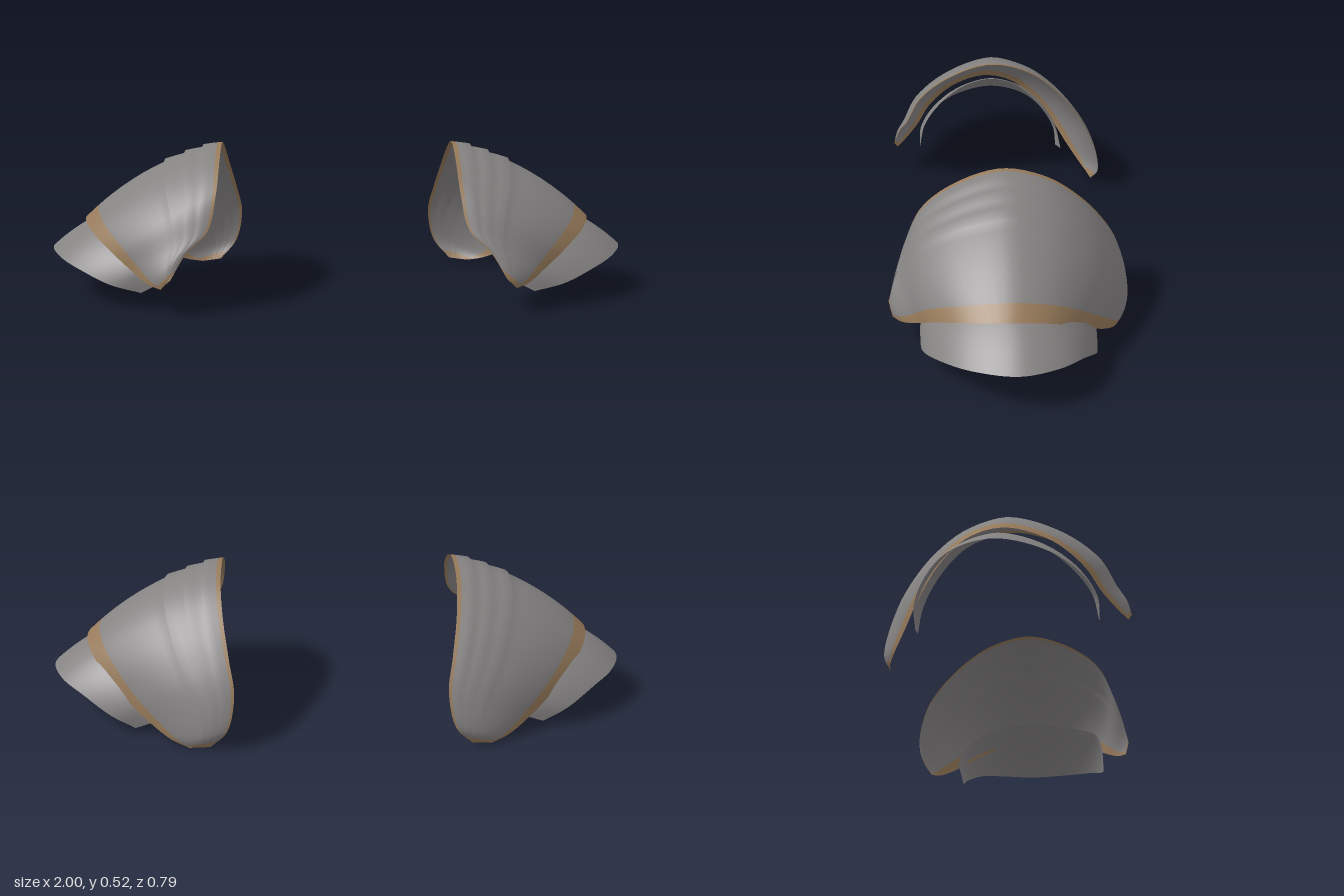
import * as THREE from 'three';

const steel = new THREE.MeshStandardMaterial({ color: 0x858282, side: THREE.DoubleSide });
steel.name = 'steel grey';
const bronze = new THREE.MeshStandardMaterial({ color: 0x967a5a, side: THREE.DoubleSide });
bronze.name = 'bronze trim';

const curve = (pts) => new THREE.CatmullRomCurve3(pts.map((p) => new THREE.Vector3(...p)));

// Edge curves run from the front tip, over the shoulder, to the back tip
const upperNeck = curve([
  [0.55, 0.13, 0.392], [0.50, 0.21, 0.365], [0.43, 0.28, 0.335], [0.405, 0.39, 0.28],
  [0.40, 0.475, 0.17], [0.40, 0.523, 0.02], [0.40, 0.49, -0.12], [0.39, 0.41, -0.23],
  [0.37, 0.30, -0.32], [0.355, 0.20, -0.37], [0.38, 0.08, -0.395], [0.44, 0.01, -0.375],
]);
const upperArm = curve([
  [0.585, 0.095, 0.38], [0.63, 0.105, 0.35], [0.69, 0.14, 0.30], [0.76, 0.19, 0.25],
  [0.84, 0.24, 0.15], [0.88, 0.262, 0.02], [0.86, 0.243, -0.09], [0.80, 0.19, -0.18],
  [0.72, 0.12, -0.25], [0.64, 0.06, -0.30], [0.57, 0.02, -0.34], [0.51, 0.003, -0.365],
]);
const lowerNeck = curve([
  [0.56, 0.11, 0.29], [0.60, 0.18, 0.27], [0.68, 0.24, 0.20], [0.74, 0.28, 0.11],
  [0.77, 0.295, 0], [0.74, 0.28, -0.10], [0.68, 0.22, -0.19], [0.62, 0.14, -0.25], [0.58, 0.07, -0.27],
]);
const lowerArm = curve([
  [0.66, 0.06, 0.292], [0.76, 0.085, 0.285], [0.86, 0.12, 0.235], [0.95, 0.145, 0.14],
  [1.0, 0.157, 0], [0.96, 0.15, -0.12], [0.88, 0.125, -0.20], [0.78, 0.07, -0.255], [0.70, 0.025, -0.26],
]);

// Bulged sheet between two edge curves; isTrim(u, v) picks the bronze cells
function shell(name, neck, arm, side, rows, bulge, lames, isTrim) {
  const cols = 56, pos = [], index = [];
  const cells = [[], []];
  for (let i = 0; i <= cols; i++) {
    const u = i / cols;
    const a = neck.getPoint(u), b = arm.getPoint(u);
    const taper = Math.pow(Math.max(Math.sin(Math.PI * u), 0), 0.7);
    for (const v of rows) {
      const p = a.clone().lerp(b, v);
      const k = 4 * v * (1 - v) * taper * bulge;
      const z = p.z;
      p.x += 0.018 * k;
      p.y += 0.036 * k * (1 - Math.abs(z) / 0.4);
      p.z += 0.14 * z * k;
      // Overlapping lames: each rises a little, then drops to the next
      const j = lames.findIndex((l) => v <= l);
      if (j >= 0) {
        const start = j ? lames[j - 1] : 0;
        p.y += 0.009 * taper * (v - start) / (lames[j] - start);
      }
      pos.push(side * p.x, p.y, p.z);
    }
  }
  const n = rows.length;
  for (let i = 0; i < cols; i++) {
    for (let j = 0; j < n - 1; j++) {
      const a = i * n + j, b = a + 1, c = a + n, d = c + 1;
      const trim = isTrim((i + 0.5) / cols, (rows[j] + rows[j + 1]) / 2) ? 1 : 0;
      cells[trim].push(...(side > 0 ? [a, b, c, b, d, c] : [a, c, b, b, c, d]));
    }
  }
  const geo = new THREE.BufferGeometry();
  geo.setAttribute('position', new THREE.Float32BufferAttribute(pos, 3));
  cells.forEach((list, m) => {
    geo.addGroup(index.length, list.length, m);
    for (const k of list) index.push(k);
  });
  geo.setIndex(index);
  geo.computeVertexNormals();
  const mesh = new THREE.Mesh(geo, [steel, bronze]);
  mesh.name = name;
  return mesh;
}

export function createModel() {
  const model = new THREE.Group();
  model.name = 'shoulderArmour';
  const upperRows = [0, 0.03, 0.07, 0.12, 0.13, 0.18, 0.24, 0.25, 0.31, 0.38, 0.39,
    0.46, 0.54, 0.62, 0.70, 0.78, 0.84, 0.89, 0.95, 1];
  const lowerRows = [0, 0.15, 0.3, 0.45, 0.6, 0.75, 0.9, 1];
  for (const side of [1, -1]) {
    const guard = new THREE.Group();
    guard.name = side > 0 ? 'leftShoulderGuard' : 'rightShoulderGuard';
    // Large cap with bronze edging all round
    guard.add(shell('upperPlate', upperNeck, upperArm, side, upperRows, 1, [0.12, 0.24, 0.38],
      (u, v) => v < 0.03 || v > 0.89 || u < 0.035 || u > 0.965));
    // Plain flared plate tucked under the cap
    guard.add(shell('lowerPlate', lowerNeck, lowerArm, side, lowerRows, 0.35, [], () => false));
    model.add(guard);
  }
  return model;
}
